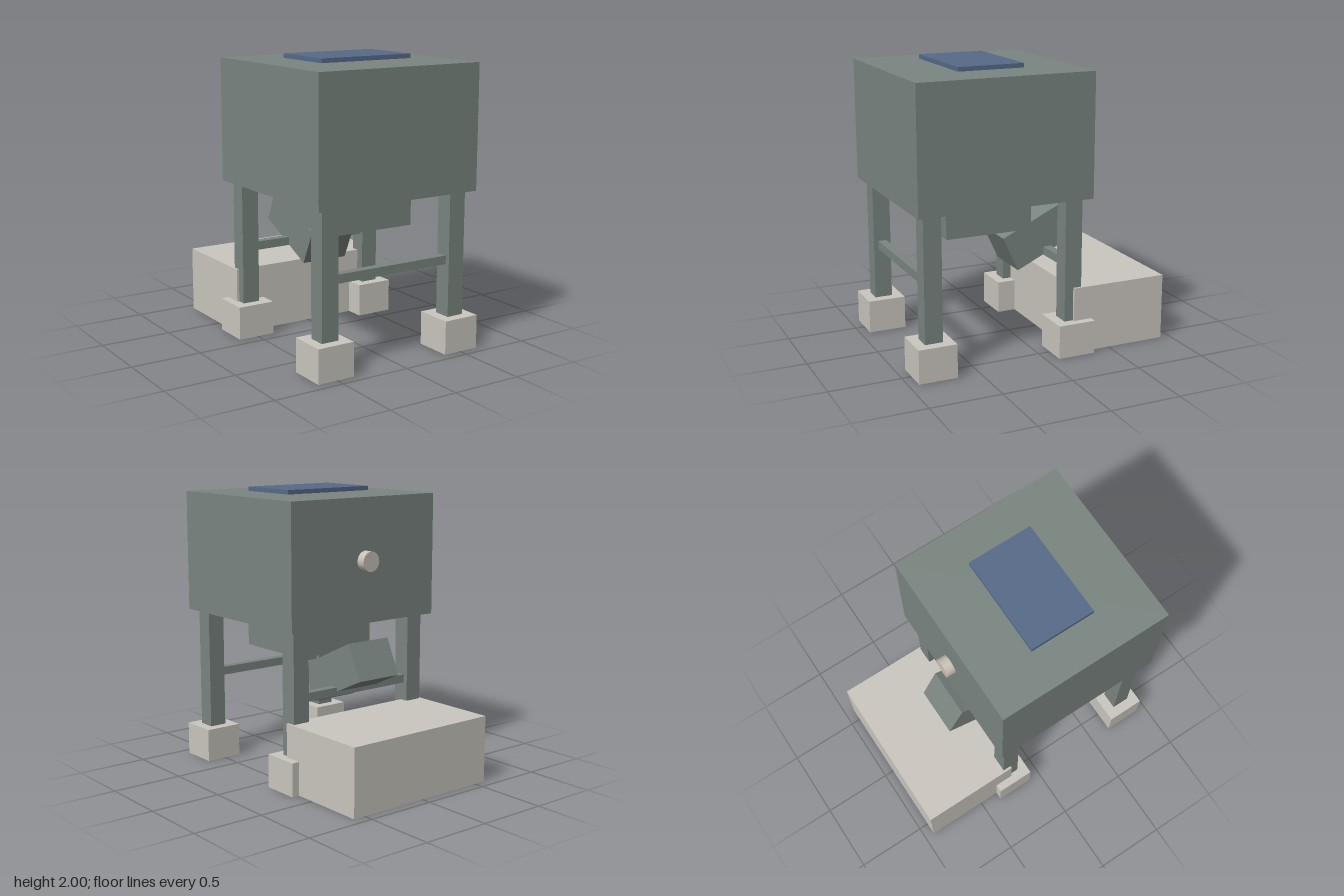
import * as THREE from 'three';

const paint = (name, color) => {
  const m = new THREE.MeshStandardMaterial({ color });
  m.name = name;
  return m;
};

export function createModel() {
  const group = new THREE.Group();
  const steel = paint('grey green steel', 0x7a8580);
  const concrete = paint('pale concrete', 0xcac6bf);
  const blue = paint('blue panel', 0x566a88);
  const metal = paint('pale metal', 0xcac2b7);

  const add = (name, geometry, material, x, y, z) => {
    const mesh = new THREE.Mesh(geometry, material);
    mesh.name = name;
    mesh.position.set(x, y, z);
    group.add(mesh);
    return mesh;
  };
  // Box given by its centre x, width, and its y and z ranges
  const box = (name, material, x, w, y0, y1, z0, z1) =>
    add(name, new THREE.BoxGeometry(w, y1 - y0, z1 - z0), material, x, (y0 + y1) / 2, (z0 + z1) / 2);

  // Main housing, top panel and lower hopper
  box('housing', steel, 0, 1.25, 1.1, 1.96, -0.34, 0.91);
  box('topPanel', blue, 0, 0.71, 1.97, 2, 0.05, 0.52);
  box('hopper', steel, 0, 0.63, 0.845, 1.1, -0.025, 0.6);

  // Tilted chute over the rear bin
  const chute = add('chute', new THREE.BoxGeometry(0.35, 0.27, 0.546), steel, 0, 0.748, -0.185);
  chute.rotation.x = 0.436;

  // Round port on the back wall
  const port = add('port', new THREE.CylinderGeometry(0.07, 0.07, 0.12, 20), metal, 0, 1.53, -0.343);
  port.rotation.x = Math.PI / 2;

  // Legs on footings, with a crossbar for each pair
  for (const z of [0.797, -0.223]) {
    for (const side of [1, -1]) {
      box('leg', steel, side * 0.508, 0.125, 0.235, 1.1, z - 0.0625, z + 0.0625);
      box('footing', concrete, side * 0.508, 0.27, 0, 0.235, z - 0.135, z + 0.135);
    }
    box('crossbar', steel, 0, 0.9, 0.6, 0.66, z - 0.03, z + 0.03);
  }

  // Rear bin
  box('rearBin', concrete, 0, 1.175, 0, 0.47, -0.93, -0.225);

  return group;
}
